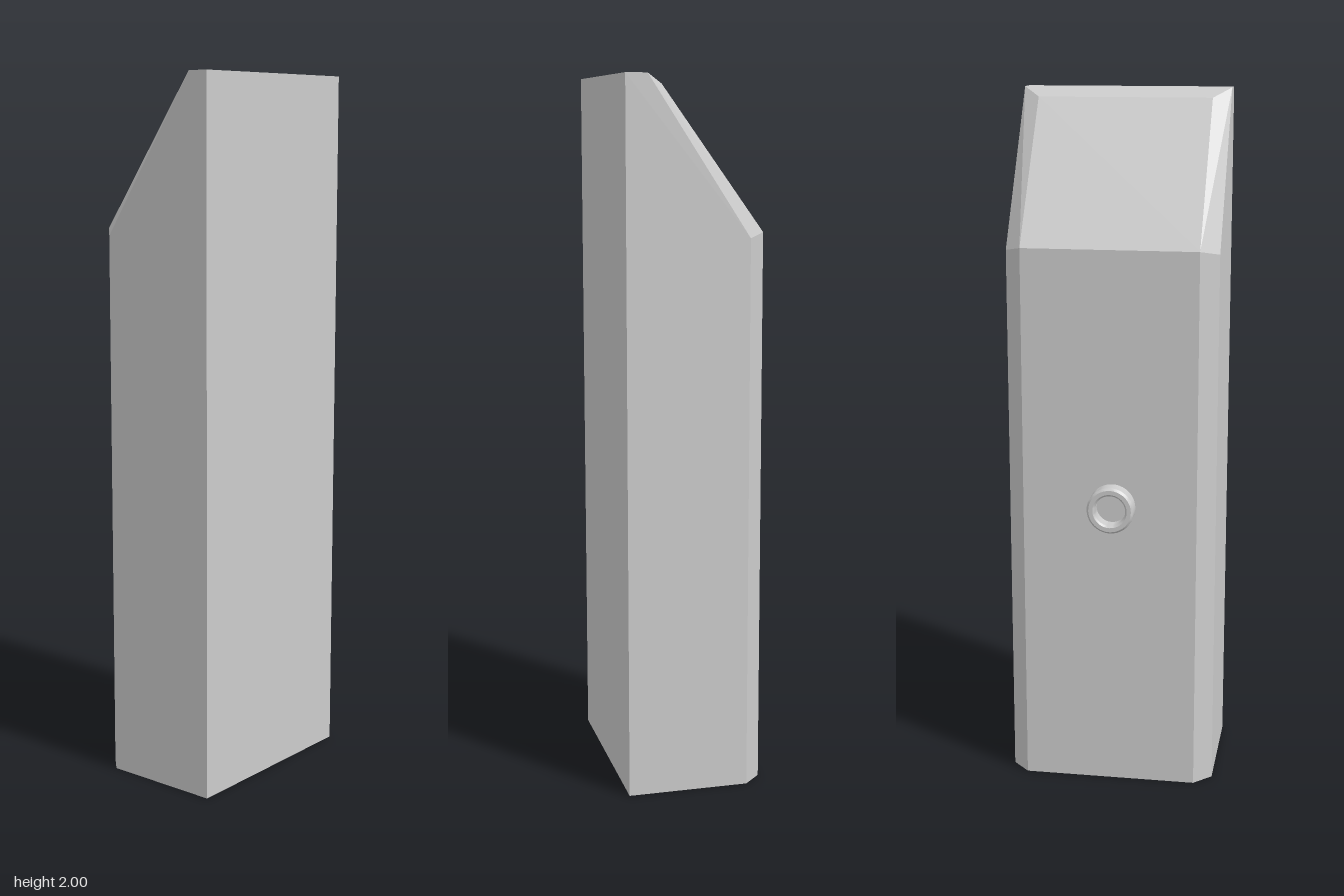
import * as THREE from 'three';
import { ConvexGeometry } from 'three/addons/geometries/ConvexGeometry.js';
import { toCreasedNormals } from 'three/addons/utils/BufferGeometryUtils.js';

const HALF_WIDTH = 0.3, BEVEL = 0.05, FRONT_Z = 0.22;

// Levels of the body: height and depth of the side edge, then of the bevelled back edge
const LEVELS = [
  { sideY: 0, sideZ: -0.125, backY: 0, backZ: -0.175 },
  { sideY: 1.565, sideZ: -0.125, backY: 1.578, backZ: -0.175 },
  { sideY: 2, sideZ: 0.16, backY: 1.973, backZ: 0.11 },
];

function bodyGeometry() {
  const points = [];
  for (const s of [-1, 1]) {
    points.push(new THREE.Vector3(s * HALF_WIDTH, 0, FRONT_Z), new THREE.Vector3(s * HALF_WIDTH, 2, FRONT_Z));
    for (const l of LEVELS) {
      points.push(new THREE.Vector3(s * HALF_WIDTH, l.sideY, l.sideZ));
      points.push(new THREE.Vector3(s * (HALF_WIDTH - BEVEL), l.backY, l.backZ));
    }
  }
  return new ConvexGeometry(points);
}

// Hollow collar with a bevelled rim, turned around its axis
function collarGeometry() {
  const profile = [
    [0.067, 0], [0.067, 0.04], [0.061, 0.047], [0.049, 0.047],
    [0.044, 0.042], [0.044, 0.004], [0, 0.004],
  ].map(([r, h]) => new THREE.Vector2(r, h));
  return toCreasedNormals(new THREE.LatheGeometry(profile, 40), Math.PI / 6);
}

export function createModel() {
  const group = new THREE.Group();
  const material = new THREE.MeshStandardMaterial({ color: 0xcccccc });

  const body = new THREE.Mesh(bodyGeometry(), material);
  body.name = 'body';
  group.add(body);

  // Socket collar on the back face
  const collar = new THREE.Mesh(collarGeometry(), material);
  collar.name = 'backCollar';
  collar.rotation.x = -Math.PI / 2;
  collar.position.set(-0.008, 0.845, -0.175);
  group.add(collar);

  return group;
}
